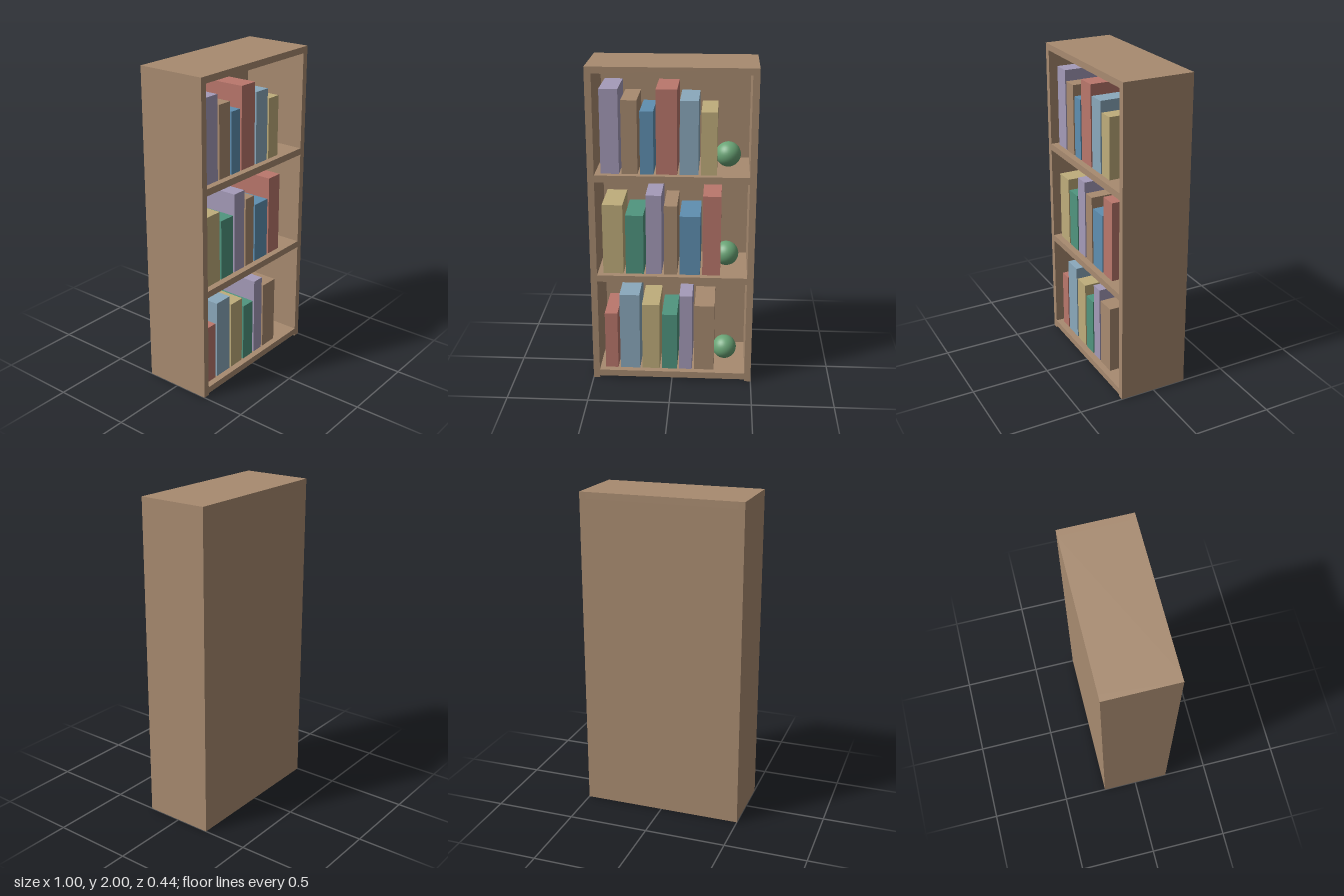
import * as THREE from 'three';

const material = (name, color) => new THREE.MeshStandardMaterial({ name, color });

export function createModel() {
  const group = new THREE.Group();
  group.name = 'bookcase';

  const colours = {
    wood: material('wood', 0xa88b70),
    lilac: material('lilac', 0xa59bb9),
    blue: material('blue', 0x5f8fb1),
    red: material('red', 0xba776c),
    sky: material('sky', 0x8ba9bc),
    gold: material('gold', 0xbfad7b),
    teal: material('teal', 0x50957f),
    green: material('green', 0x6aa476),
  };

  // Box given by its limits on each axis
  const box = (name, mat, [x0, x1], [y0, y1], [z0, z1]) => {
    const mesh = new THREE.Mesh(new THREE.BoxGeometry(x1 - x0, y1 - y0, z1 - z0), mat);
    mesh.position.set((x0 + x1) / 2, (y0 + y1) / 2, (z0 + z1) / 2);
    mesh.name = name;
    group.add(mesh);
  };

  // Case: sides, top board and back panel
  const { wood } = colours;
  box('rightSide', wood, [-0.5, -0.46], [0, 2], [-0.22, 0.22]);
  box('leftSide', wood, [0.46, 0.5], [0, 2], [-0.22, 0.22]);
  box('topBoard', wood, [-0.46, 0.46], [1.96, 2], [-0.22, 0.22]);
  box('backPanel', wood, [-0.46, 0.46], [0, 1.96], [-0.22, -0.2]);

  // Each shelf: top height, then books as [width, height, colour] from -x to +x
  const T = 0.51, M = 0.445, S = 0.38;
  const shelves = [
    [0.055, [[0.08, S, 'red'], [0.125, T, 'sky'], [0.11, M, 'gold'],
      [0.095, S, 'teal'], [0.08, T, 'lilac'], [0.125, M, 'wood']]],
    [0.712, [[0.125, M, 'gold'], [0.11, S, 'teal'], [0.095, T, 'lilac'],
      [0.08, M, 'wood'], [0.125, S, 'blue'], [0.11, T, 'red']]],
    [1.355, [[0.11, T, 'lilac'], [0.095, M, 'wood'], [0.08, S, 'blue'],
      [0.125, T, 'red'], [0.11, M, 'sky'], [0.095, S, 'gold']]],
  ];
  const ballGeometry = new THREE.SphereGeometry(0.076, 32, 20);

  for (const [y, books] of shelves) {
    box('shelf', wood, [-0.46, 0.46], [y - 0.042, y], [-0.2, 0.22]);

    // Row of upright books
    let x = -0.425;
    for (const [width, height, colour] of books) {
      box('book', colours[colour], [x, x + width], [y, y + height], [-0.12, 0.18]);
      x += width + 0.015;
    }

    // Round ornament at the end of the row
    const ball = new THREE.Mesh(ballGeometry, colours.green);
    ball.name = 'ornamentBall';
    ball.position.set(0.33, y + 0.09, 0.03);
    group.add(ball);
  }

  return group;
}
